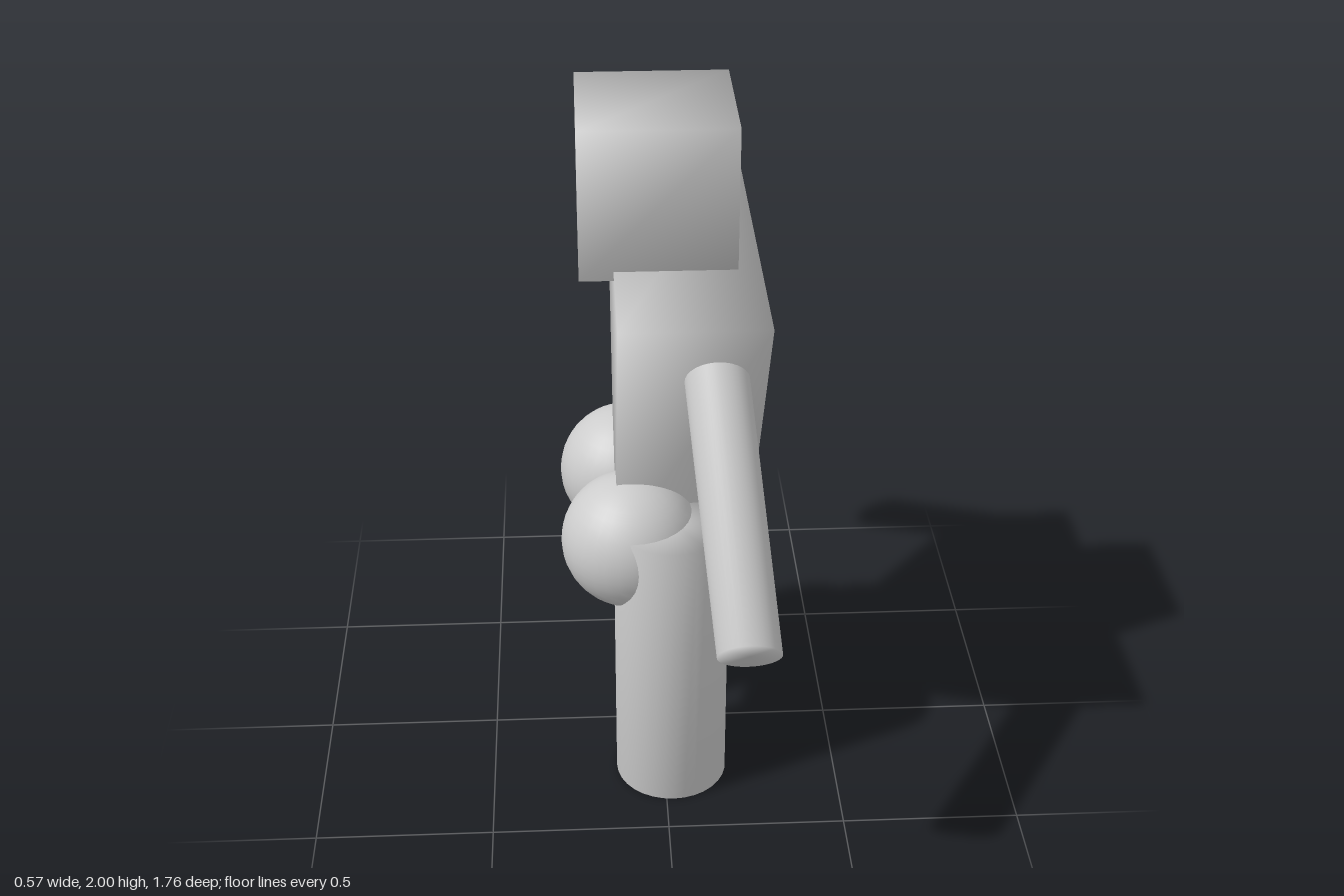
import * as THREE from 'three';
import { mergeVertices } from 'three/addons/utils/BufferGeometryUtils.js';

// Share corner vertices so shading runs smoothly over the edges
function soften(geometry) {
  geometry.deleteAttribute('uv');
  geometry.deleteAttribute('normal');
  const g = mergeVertices(geometry, 1e-4);
  g.computeVertexNormals();
  return g;
}

export function createModel() {
  const model = new THREE.Group();
  const grey = new THREE.MeshStandardMaterial({ color: 0xcccccc });
  grey.name = 'light grey';

  function add(name, geometry, x = 0, y = 0, z = 0) {
    const mesh = new THREE.Mesh(soften(geometry), grey);
    mesh.name = name;
    mesh.position.set(x, y, z);
    model.add(mesh);
  }

  // Cylinder whose end caps are slanted against its axis
  function slantedCylinder(bottom, top, capX, capZ) {
    const axis = top.clone().sub(bottom);
    const m = new THREE.Matrix4().makeBasis(capX, axis, capZ);
    m.setPosition(bottom.clone().add(top).multiplyScalar(0.5));
    return new THREE.CylinderGeometry(1, 1, 1, 32).applyMatrix4(m);
  }
  const v = (x, y, z) => new THREE.Vector3(x, y, z);

  // Cube head
  add('head', new THREE.BoxGeometry(0.41, 0.41, 0.41), -0.015, 1.795, 0);

  // Wedge torso, point down, facing +x
  const triangle = new THREE.Shape([
    new THREE.Vector2(0, 0.625),
    new THREE.Vector2(0.54, 1.615),
    new THREE.Vector2(-0.54, 1.615),
  ]);
  const torso = new THREE.ExtrudeGeometry(triangle, { depth: 0.38, bevelEnabled: false });
  add('torso', torso.rotateY(Math.PI / 2), -0.13, 0, 0);

  // Arms
  add('rightArm', slantedCylinder(
    v(0.183, 0.852, 0.83), v(0.12, 1.436, 0.418), v(0.083, 0, 0), v(0, 0.069, 0.048)));
  add('leftArm', slantedCylinder(
    v(0.2, 0.833, -0.823), v(0.125, 1.468, -0.49), v(0.083, 0, 0), v(0, -0.061, 0.058)));

  // Legs and buttocks: [side, leg x, leg z, buttock z]
  for (const [side, legX, legZ, seatZ] of [
    ['right', 0.02, 0.222, 0.158],
    ['left', 0.06, -0.228, -0.215],
  ]) {
    add(side + 'Leg', new THREE.CylinderGeometry(0.16, 0.16, 0.855, 32), legX, 0.4275, legZ);
    add(side + 'Buttock', new THREE.SphereGeometry(0.193, 32, 20), -0.092, 0.765, seatZ);
  }

  return model;
}
